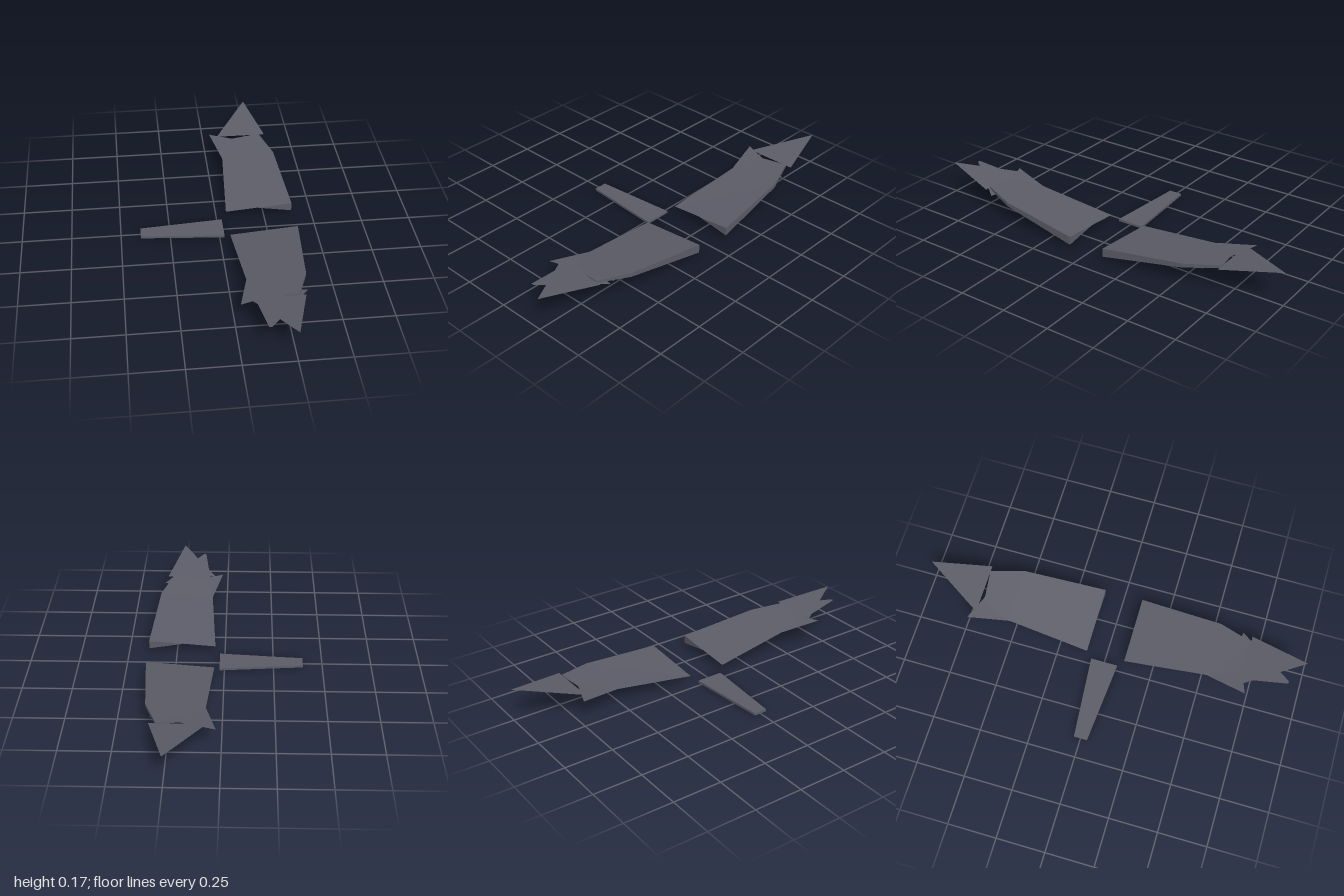
import * as THREE from 'three';

const slate = new THREE.MeshStandardMaterial({ color: 0x5c5c68, side: THREE.DoubleSide, flatShading: true });
slate.name = 'slate feather';

// Flat-shaded mesh from corner points and triangles
function facets(name, points, faces, mirror = 1) {
  const g = new THREE.BufferGeometry();
  const pos = faces.flat().flatMap((i) => [points[i][0], points[i][1], points[i][2] * mirror]);
  g.setAttribute('position', new THREE.Float32BufferAttribute(pos, 3));
  g.computeVertexNormals();
  const mesh = new THREE.Mesh(g, slate);
  mesh.name = name;
  return mesh;
}

// Wing: each section runs trailing edge, leading top, leading bottom, mid-chord
function wingPanel(mirror) {
  const sections = [
    { z: [0.1, 0.1], trail: [0.05, 0.037], lead: [0.395, 0.066], low: 0.021 },
    { z: [0.53, 0.53], trail: [0.077, 0.092], lead: [0.36, 0.112], low: 0.091 },
    { z: [0.68, 0.7], trail: [0.13, 0.117], lead: [0.3, 0.13], low: 0.117 },
  ];
  const points = [];
  for (const { z, trail, lead, low } of sections) {
    points.push(
      [trail[0], trail[1], z[0]],
      [lead[0], lead[1], z[1]],
      [lead[0], low, z[1]],
      [(trail[0] + lead[0]) / 2, (trail[1] + lead[1]) / 2 - 0.002, (z[0] + z[1]) / 2],
    );
  }
  const faces = [[1, 3, 2], [9, 10, 11]];
  for (let s = 0; s < 2; s++) {
    const a = s * 4, b = a + 4;
    for (let i = 0; i < 3; i++) {
      faces.push([a + i, b + i, b + i + 1], [a + i, b + i + 1, a + i + 1]);
    }
  }
  return facets('wingPanel', points, faces, mirror);
}

// Tapered tail slab
function tail() {
  const g = new THREE.BoxGeometry(0.425, 0.012, 0.14);
  g.translate(-0.1875, 0.006, 0);
  const p = g.attributes.position;
  for (let i = 0; i < p.count; i++) {
    if (p.getX(i) < -0.2) p.setZ(i, p.getZ(i) * 0.49);
  }
  g.computeVertexNormals();
  const mesh = new THREE.Mesh(g, slate);
  mesh.name = 'tail';
  return mesh;
}

export function createModel() {
  const model = new THREE.Group();
  model.name = 'wingsAndTail';
  for (const side of [1, -1]) {
    const wing = new THREE.Group();
    wing.name = side > 0 ? 'frontWing' : 'backWing';
    wing.add(wingPanel(side));
    // Pointed tip and the swept feather that crosses the panel
    wing.add(facets('tipFeather', [[0.065, 0.125, 0.7], [0.25, 0.17, 1], [0.332, 0.125, 0.7]], [[0, 1, 2]], side));
    wing.add(facets('sweptFeather', [[0.12, 0.065, 0.35], [0.025, 0.12, 0.735], [0.335, 0.104, 0.62]], [[0, 1, 2]], side));
    model.add(wing);
  }
  // Loose feather on one wing only
  model.add(facets('looseFeather',
    [[0.085, 0.105, 0.62], [0.126, 0.15, 0.93], [0.14, 0.15, 0.93], [0.347, 0.109, 0.65]],
    [[0, 1, 2], [0, 2, 3]]));
  model.add(tail());
  return model;
}
